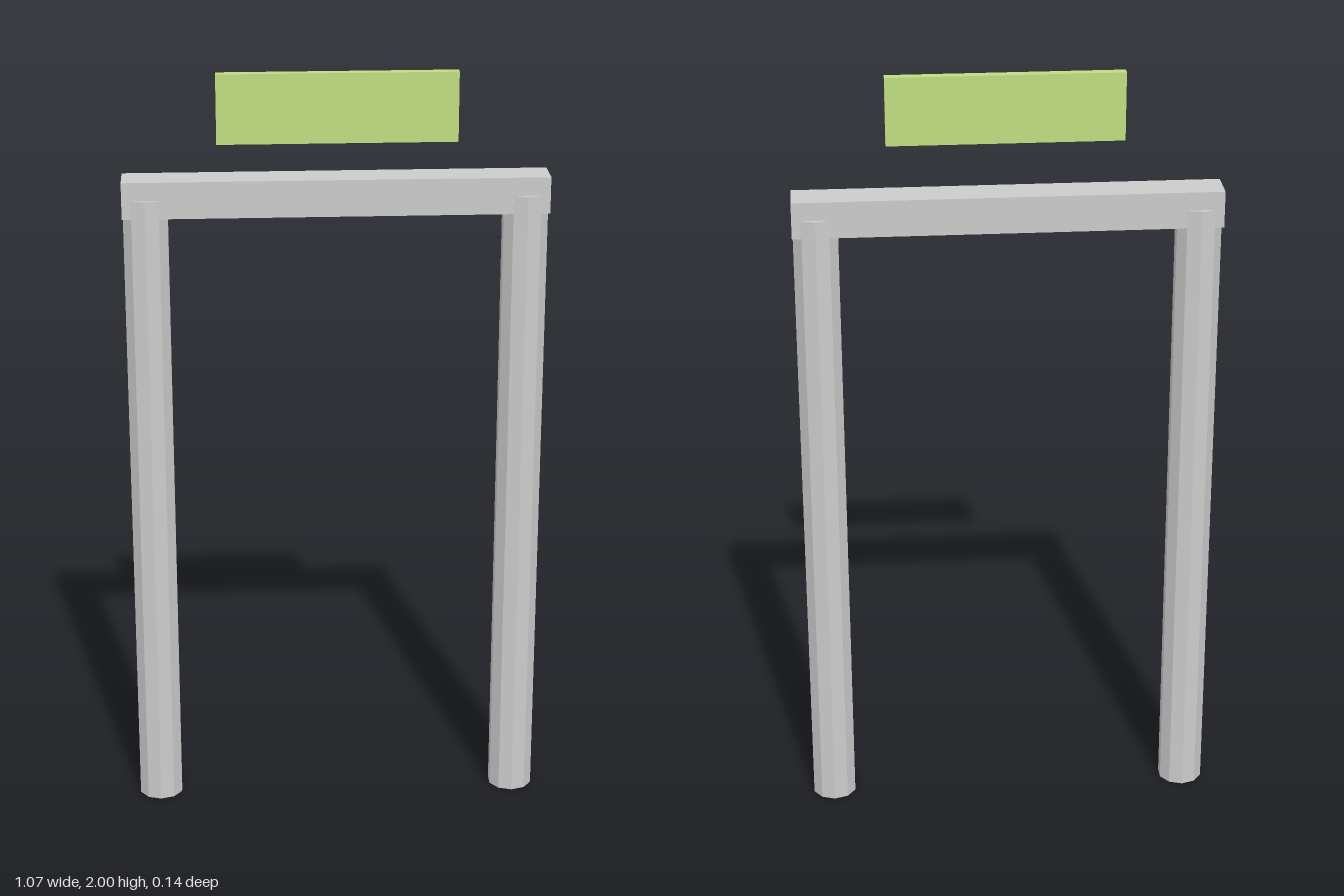
import * as THREE from 'three';

export function createModel() {
  const group = new THREE.Group();
  const grey = new THREE.MeshStandardMaterial({ color: 0xcccccc, flatShading: true });
  const green = new THREE.MeshStandardMaterial({ color: 0xc0dc80 });

  function add(name, geometry, material, x, y, z) {
    const mesh = new THREE.Mesh(geometry, material);
    mesh.name = name;
    mesh.position.set(x, y, z);
    group.add(mesh);
  }

  // Ten-sided posts, reaching up into the crossbeam
  const postHeight = 1.675;
  const post = new THREE.CylinderGeometry(0.059, 0.059, postHeight, 10);
  for (const [name, side] of [['leftPost', 1], ['rightPost', -1]]) {
    add(name, post, grey, side * 0.478, postHeight / 2, -0.013);
  }

  // Crossbeam
  add('crossbeam', new THREE.BoxGeometry(1.072, 0.094, 0.095), grey, 0, 1.675, -0.013);

  // Sign panel floating above the front of the beam
  add('signPanel', new THREE.BoxGeometry(0.596, 0.175, 0.024), green, 0, 1.9125, 0.058);

  return group;
}
